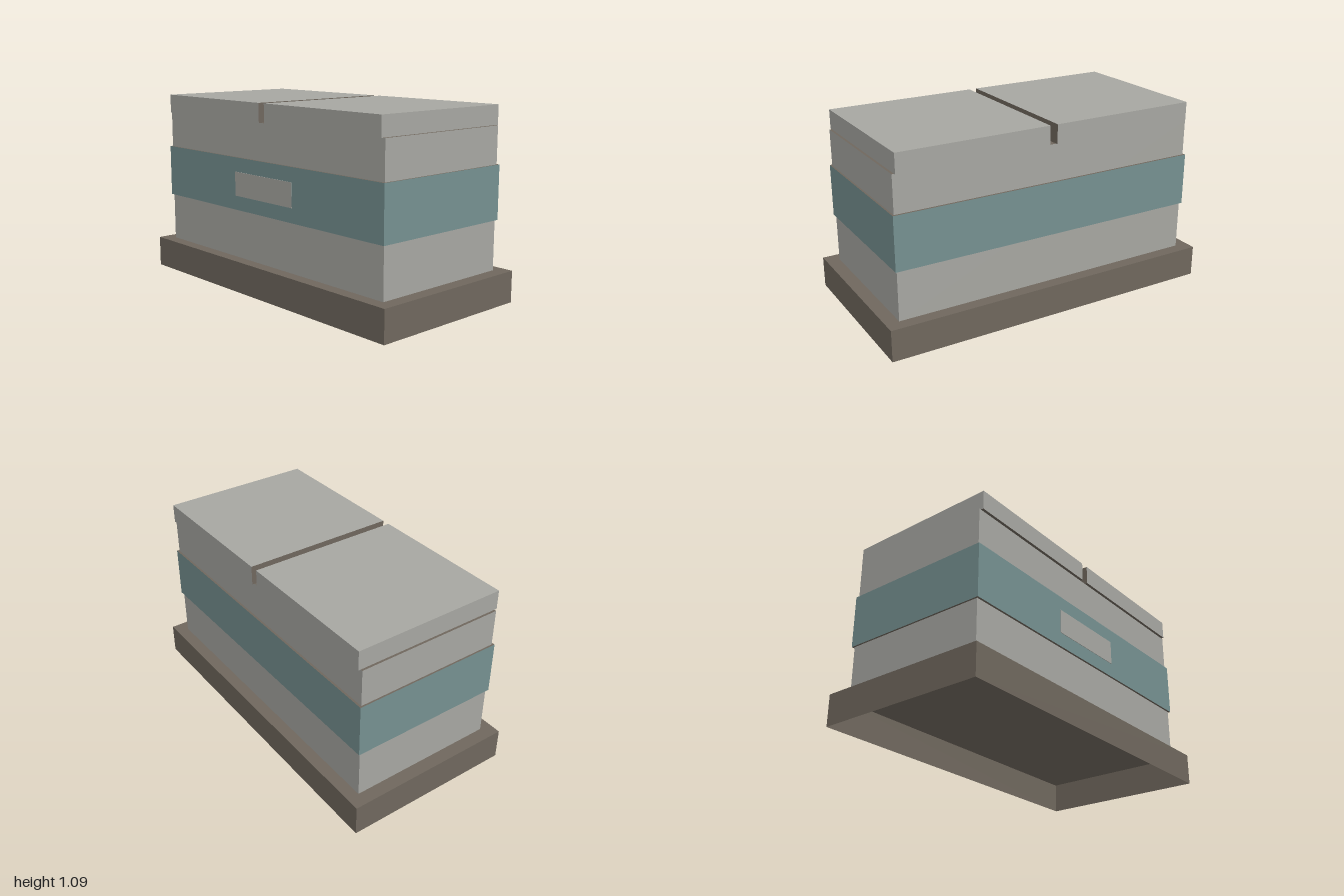
import * as THREE from 'three';

export function createModel() {
  const model = new THREE.Group();
  const material = (name, color) =>
    new THREE.MeshStandardMaterial({ name, color, side: THREE.DoubleSide });
  const grey = material('pale grey', 0xa6a6a1);
  const teal = material('muted teal', 0x759090);
  const brown = material('dark brown', 0x6f675d);

  // Box between two heights; faces are ordered +x, -x, +y, -y, +z, -z
  function addBox(name, width, depth, bottom, top, materials, x = 0, z = 0) {
    const geometry = new THREE.BoxGeometry(width, top - bottom, depth);
    const mesh = new THREE.Mesh(geometry, materials);
    mesh.name = name;
    mesh.position.set(x, (bottom + top) / 2, z);
    model.add(mesh);
    return mesh;
  }
  const sides = (m) => [m, m, brown, brown, m, m];

  // Plinth, hollow and open underneath: drop the group of the bottom face
  const plinth = addBox('plinth', 2, 1.01, 0, 0.181, sides(brown));
  const geometry = plinth.geometry;
  geometry.groups = geometry.groups.filter((g) => g.materialIndex !== 3);

  // Chest body with a coloured band around it
  addBox('body', 1.846, 0.868, 0.181, 0.983, sides(grey));
  addBox('band', 1.866, 0.892, 0.465, 0.771, sides(teal));
  addBox('frontPlate', 0.5, 0.004, 0.548, 0.688, grey, 0, 0.447);

  // Two lids, brown underneath and along the central gap
  for (const side of [-1, 1]) {
    const faces = side > 0
      ? [grey, brown, grey, brown, grey, grey]
      : [brown, grey, grey, brown, grey, grey];
    addBox(side > 0 ? 'leftLid' : 'rightLid', 0.888, 0.898, 0.984, 1.094, faces, side * 0.467);
  }
  return model;
}
